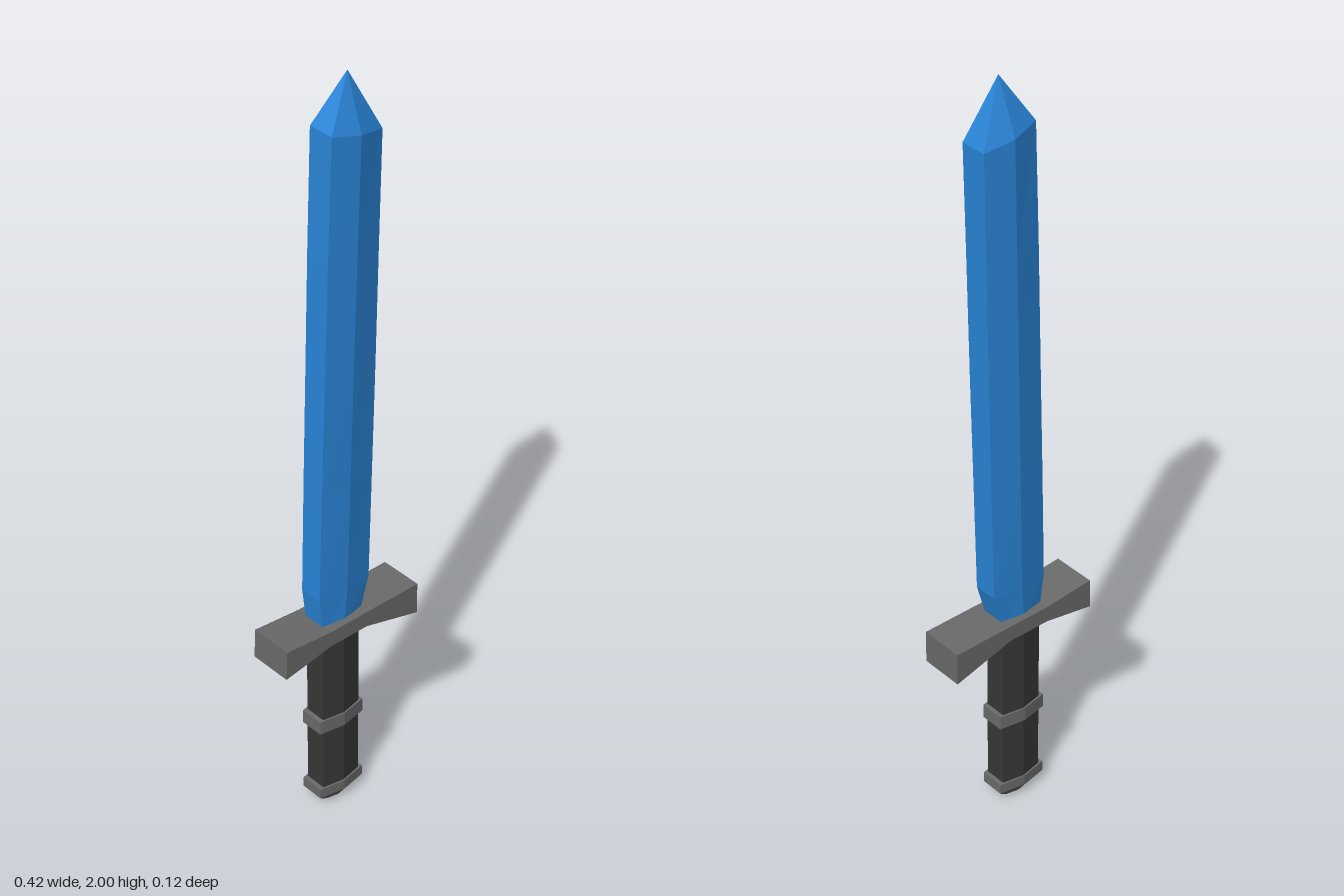
import * as THREE from 'three';

const paint = (color) => new THREE.MeshStandardMaterial({ color, flatShading: true });

// Lofts six-sided rings: [yLeft, yRight, left, ridge, right, sideZ, ridgeZ]
function loft(name, rings, material) {
  const corners = rings.map(([yl, yr, l, m, r, zs, zm]) => {
    const ym = (yl + yr) / 2;
    return [[l, yl, zs], [m, ym, zm], [r, yr, zs], [r, yr, -zs], [m, ym, -zm], [l, yl, -zs]];
  });
  const pos = [];
  const tri = (a, b, c) => pos.push(...a, ...b, ...c);
  for (let k = 0; k < corners.length - 1; k++) {
    const lo = corners[k], hi = corners[k + 1];
    for (let i = 0; i < 6; i++) {
      const j = (i + 1) % 6;
      tri(lo[i], lo[j], hi[j]);
      if (hi[i].some((v, n) => v !== hi[j][n])) tri(lo[i], hi[j], hi[i]);
    }
  }
  const base = corners[0], top = corners[corners.length - 1];
  const pointed = rings[rings.length - 1][5] === 0;
  for (let i = 1; i < 5; i++) {
    tri(base[0], base[i + 1], base[i]);
    if (!pointed) tri(top[0], top[i], top[i + 1]);
  }
  const geo = new THREE.BufferGeometry();
  geo.setAttribute('position', new THREE.Float32BufferAttribute(pos, 3));
  geo.computeVertexNormals();
  const mesh = new THREE.Mesh(geo, material);
  mesh.name = name;
  return mesh;
}

export function createModel() {
  const group = new THREE.Group();
  group.name = 'sword';
  const blue = paint(0x2a86da), grey = paint(0x6b6b6b), dark = paint(0x383838);

  // Blade: narrow root, slightly leaning body, pointed tip
  group.add(loft('blade', [
    [0.55, 0.55, -0.07, -0.012, 0.045, 0.03, 0.04],
    [0.655, 0.655, -0.082, -0.004, 0.074, 0.031, 0.042],
    [0.96, 0.96, -0.074, 0.003, 0.081, 0.032, 0.044],
    [1.26, 1.26, -0.065, 0.010, 0.088, 0.033, 0.046],
    [1.57, 1.57, -0.056, 0.018, 0.094, 0.034, 0.048],
    [1.88, 1.85, -0.045, 0.026, 0.10, 0.035, 0.05],
    [2, 2, 0.03, 0.03, 0.03, 0, 0],
  ], blue));

  // Crossguard: thin middle flaring to lopsided ends
  const outline = new THREE.Shape([
    [-0.21, 0.505], [-0.07, 0.53], [0.045, 0.53], [0.21, 0.485],
    [0.21, 0.573], [-0.07, 0.573], [-0.207, 0.585],
  ].map(([x, y]) => new THREE.Vector2(x, y)));
  const guardGeo = new THREE.ExtrudeGeometry(outline, { depth: 0.116, bevelEnabled: false });
  guardGeo.translate(0, 0, -0.058);
  const guard = new THREE.Mesh(guardGeo, grey);
  guard.name = 'crossguard';
  group.add(guard);

  // Grip
  group.add(loft('grip', [0.04, 0.55].map((y) =>
    [y, y, -0.07, -0.012, 0.045, 0.029, 0.04]), dark));

  // Metal bands around the grip
  for (const [name, y0, y1] of [['gripBand', 0.243, 0.281], ['pommelBand', 0.034, 0.062]]) {
    group.add(loft(name, [y0, y1].map((y) =>
      [y, y, -0.082, -0.013, 0.056, 0.032, 0.044]), grey));
  }

  // Tapered pommel
  group.add(loft('pommel', [
    [0, 0, -0.045, -0.013, 0.02, 0.013, 0.02],
    [0.034, 0.034, -0.082, -0.013, 0.056, 0.032, 0.044],
  ], grey));

  return group;
}
